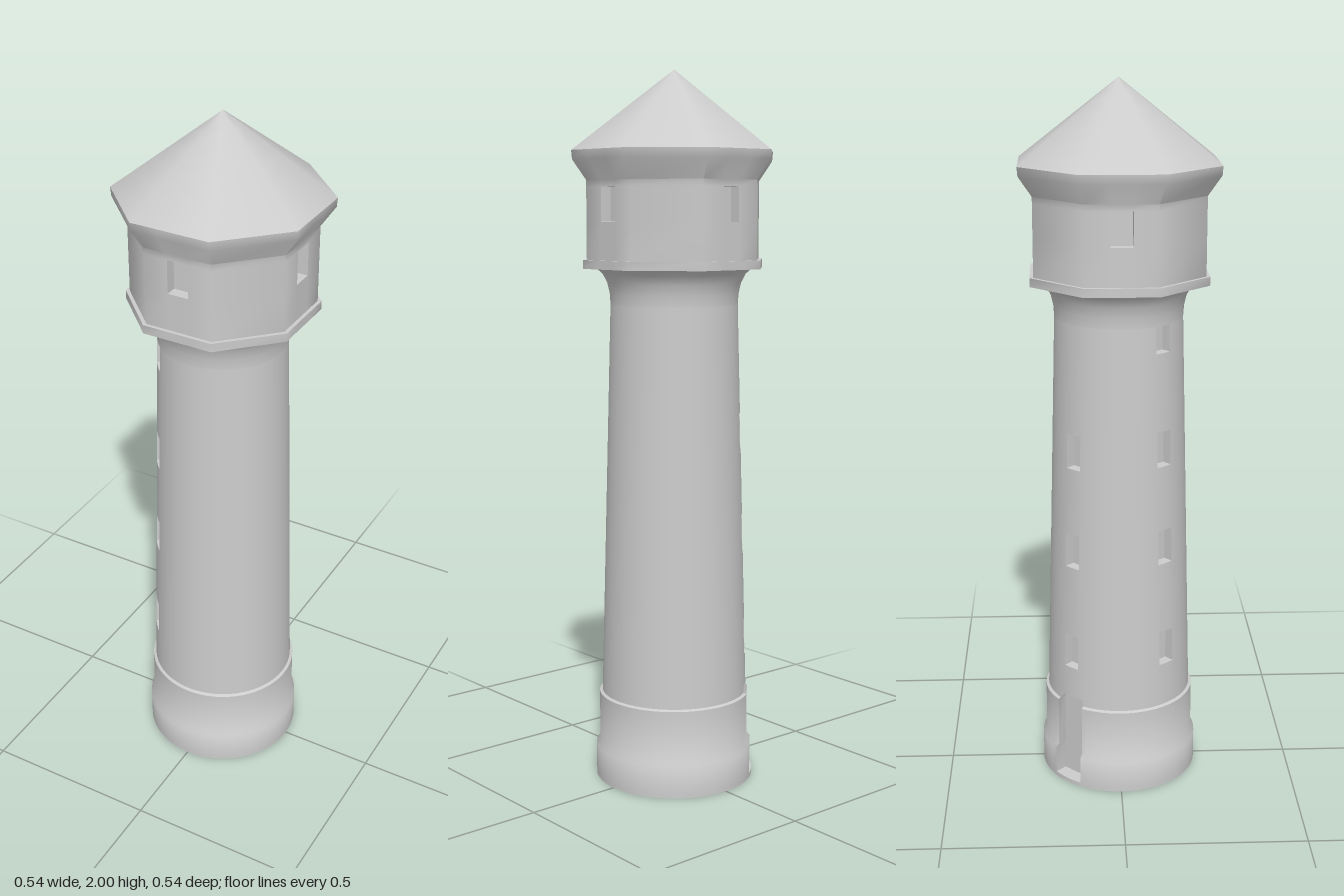
import * as THREE from 'three';
import { toCreasedNormals } from 'three/addons/utils/BufferGeometryUtils.js';

const START = -Math.PI / 8;
const CREASE = 0.9;
const deg = THREE.MathUtils.degToRad;

// Insert an extra row into a [radius, y] profile that rises upwards
function addRow(rows, y) {
  const k = rows.findIndex((p, i) => i > 0 && rows[i - 1][1] < y && p[1] > y);
  if (k < 0) return;
  const [a, b] = [rows[k - 1], rows[k]];
  rows.splice(k, 0, [a[0] + (b[0] - a[0]) * (y - a[1]) / (b[1] - a[1]), y]);
}

// Wall swept around the y axis with recessed openings.
// opening: { az, half (angle), y0, y1, plane (distance of the back panel from the axis) }
// radiusAt(profileRadius, angle) gives a round or a polygonal plan.
function recessedWall(profile, sides, openings, radiusAt) {
  const rows = profile.map((p) => [...p]);
  const edges = openings.flatMap((o) => [o.az - o.half, o.az + o.half]);
  openings.forEach((o) => { addRow(rows, o.y0); addRow(rows, o.y1); });
  const angles = [];
  for (let i = 0; i <= sides; i++) {
    const a = START + (i / sides) * Math.PI * 2;
    if (edges.every((e) => Math.abs(e - a) > 0.012)) angles.push(a);
  }
  edges.forEach((e) => { if (angles.every((a) => Math.abs(a - e) > 1e-4)) angles.push(e); });
  angles.sort((a, b) => a - b);

  const outer = (i, j) => {
    const a = angles[i], r = radiusAt(rows[j][0], a);
    return [r * Math.sin(a), rows[j][1], r * Math.cos(a)];
  };
  const inner = (i, j, o) => {
    const a = angles[i], s = radiusAt(rows[j][0], a) * Math.sin(a - o.az);
    const sn = Math.sin(o.az), cs = Math.cos(o.az);
    return [o.plane * sn + s * cs, rows[j][1], o.plane * cs - s * sn];
  };
  const openingAt = (i, j) => {
    if (i < 0 || j < 0 || i > angles.length - 2 || j > rows.length - 2) return undefined;
    const a = (angles[i] + angles[i + 1]) / 2, y = (rows[j][1] + rows[j + 1][1]) / 2;
    return openings.find((o) => Math.abs(a - o.az) < o.half && y > o.y0 && y < o.y1);
  };

  const pos = [];
  const quad = (a, b, c, d) => pos.push(...a, ...b, ...c, ...a, ...c, ...d);
  for (let j = 0; j < rows.length - 1; j++) {
    for (let i = 0; i < angles.length - 1; i++) {
      const c = [[i, j], [i + 1, j], [i + 1, j + 1], [i, j + 1]];
      const o = openingAt(i, j);
      if (!o) { quad(...c.map((p) => outer(...p))); continue; }
      // back panel, then a reveal on each side that meets solid wall
      quad(...c.map((p) => inner(...p, o)));
      [[i, j - 1], [i + 1, j], [i, j + 1], [i - 1, j]].forEach((n, k) => {
        if (openingAt(...n)) return;
        const p = c[k], q = c[(k + 1) % 4];
        quad(outer(...q), inner(...q, o), inner(...p, o), outer(...p));
      });
    }
  }
  const g = new THREE.BufferGeometry();
  g.setAttribute('position', new THREE.Float32BufferAttribute(pos, 3));
  g.computeVertexNormals();
  return toCreasedNormals(g, CREASE);
}

export function createModel() {
  const group = new THREE.Group();
  group.name = 'waterTower';
  const stone = new THREE.MeshStandardMaterial({ color: 0xcccccc });
  stone.name = 'paleGreyStone';
  const add = (name, geometry) => {
    const m = new THREE.Mesh(geometry, stone);
    m.name = name;
    group.add(m);
    return m;
  };

  // Tapered round shaft with plinth and flared top
  const shaftProfile = [
    [0.225, 0], [0.225, 0.09], [0.215, 0.102], [0.215, 0.246], [0.207, 0.25],
    [0.178, 1.36], [0.18, 1.39], [0.187, 1.42], [0.2, 1.445], [0.22, 1.462],
  ];
  const slit = (az, y, r, h = 0.1) => ({
    az: deg(az), half: Math.asin(0.025 / r), y0: y - h / 2, y1: y + h / 2, plane: r - 0.03,
  });
  const shaftOpenings = [
    // stair windows at the front
    slit(310, 0.425, 0.2025), slit(310, 0.73, 0.1945), slit(310, 1.015, 0.187), slit(310, 1.322, 0.179, 0.075),
    // door with windows above it at the back
    { az: deg(226), half: 0.215, y0: 0.012, y1: 0.27, plane: 0.182 },
    slit(226, 0.41, 0.203), slit(226, 0.715, 0.195), slit(226, 1.005, 0.187),
  ];
  add('shaft', recessedWall(shaftProfile, 64, shaftOpenings, (r) => r));

  const base = new THREE.CircleGeometry(0.225, 64);
  base.rotateX(Math.PI / 2);
  add('baseUnderside', base);

  // Octagonal tank room: flange, walls with four windows, flared eaves
  const roomProfile = [
    [0.19, 1.46], [0.242, 1.46], [0.242, 1.484], [0.232, 1.484],
    [0.232, 1.7], [0.268, 1.755], [0.27, 1.78],
  ];
  const roomWindows = [0, 90, 180, 270].map((az) => ({
    az: deg(az), half: Math.atan(0.03 / 0.232), y0: 1.588, y1: 1.682, plane: 0.2,
  }));
  const step = Math.PI / 4;
  const octagon = (r, a) => r / Math.cos(a - Math.round(a / step) * step);
  add('tankRoom', recessedWall(roomProfile, 8, roomWindows, octagon));

  // Eight-sided pointed roof
  const roof = new THREE.ConeGeometry(0.27 / Math.cos(Math.PI / 8), 0.22, 8, 6, true, Math.PI / 8);
  add('roof', roof).position.y = 1.89;

  return group;
}
